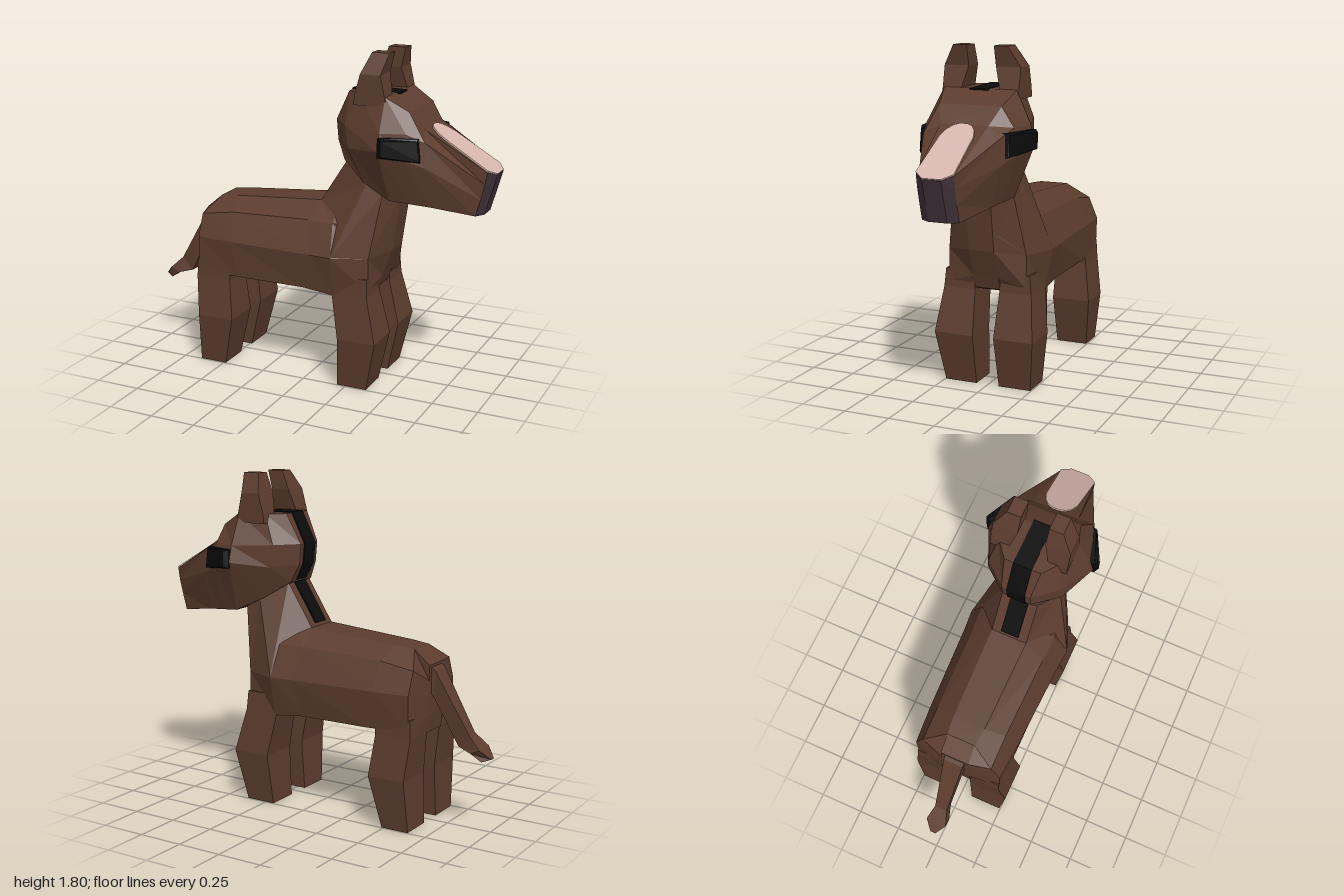
import * as THREE from 'three';

const paint = (name, color) => {
  const m = new THREE.MeshStandardMaterial({ color, flatShading: true });
  m.name = name;
  return m;
};

// Closed faceted solid through rings with an equal, even number of points
function loft(name, rings, material) {
  const pos = [];
  const tri = (a, b, c) => pos.push(...a, ...b, ...c);
  const quad = (a, b, c, d) => { tri(a, b, c); tri(a, c, d); };
  const n = rings[0].length;
  for (let r = 0; r < rings.length - 1; r++) {
    const p = rings[r], q = rings[r + 1];
    for (let i = 0; i < n; i++) {
      const j = (i + 1) % n;
      quad(p[i], p[j], q[j], q[i]);
    }
  }
  const cap = (p, flip) => {
    for (let i = 0; i < n / 2 - 1; i++) {
      const f = [p[i], p[i + 1], p[n - 2 - i], p[n - 1 - i]];
      quad(...(flip ? f.reverse() : f));
    }
  };
  cap(rings[0], true);
  cap(rings[rings.length - 1], false);

  // Turn the faces outward if the signed volume is negative
  const v = i => new THREE.Vector3(pos[i], pos[i + 1], pos[i + 2]);
  let volume = 0;
  for (let i = 0; i < pos.length; i += 9) volume += v(i).dot(v(i + 3).cross(v(i + 6)));
  if (volume < 0) {
    for (let i = 0; i < pos.length; i += 9) {
      for (let k = 3; k < 6; k++) [pos[i + k], pos[i + k + 3]] = [pos[i + k + 3], pos[i + k]];
    }
  }
  const g = new THREE.BufferGeometry();
  g.setAttribute('position', new THREE.Float32BufferAttribute(pos, 3));
  g.computeVertexNormals();
  const mesh = new THREE.Mesh(g, material);
  mesh.name = name;
  return mesh;
}

// Complete half a ring by mirroring it in z
const whole = half => [...half, ...half.slice().reverse().map(([x, y, z]) => [x, y, -z])];

// Four-cornered ring at height y
const box = (y, x0, x1, z0, z1) => [[x0, y, z0], [x1, y, z0], [x1, y, z1], [x0, y, z1]];

export function createModel() {
  const group = new THREE.Group();
  const coat = paint('brown coat', 0x5c3c2e);
  const black = paint('black', 0x0b0b0b);
  const pink = paint('pale pink', 0xd6b6ae);
  const dark = paint('dark muzzle', 0x40323a);
  const add = (...args) => group.add(loft(...args));

  // Trunk, from rump to chest
  add('body', [
    [[-.67, .86, .08], [-.67, .78, .08], [-.67, .7, .08], [-.67, .6, .08], [-.66, .5, .08]],
    [[-.58, .935, .08], [-.64, .85, .2], [-.64, .73, .25], [-.64, .54, .245], [-.62, .5, .1]],
    [[-.48, .945, .09], [-.45, .88, .2], [-.43, .73, .265], [-.4, .53, .25], [-.4, .53, .1]],
    [[.04, .985, .1], [.02, .9, .21], [.05, .73, .285], [0, .53, .25], [0, .53, .1]],
    [[.15, 1, .1], [.16, .9, .22], [.18, .73, .295], [.18, .51, .25], [.18, .5, .1]],
    [[.38, .95, .1], [.37, .88, .19], [.365, .73, .22], [.365, .55, .22], [.34, .52, .08]],
    [[.46, .95, .07], [.45, .85, .07], [.44, .75, .07], [.385, .6, .07], [.36, .53, .07]],
  ].map(whole), coat);

  // Neck
  add('neck', [
    [[.04, .985, .1], [.18, .735, .294], [.365, .73, .22], [.44, .75, .07]],
    [[.19, 1.22, .1], [.33, 1.12, .17], [.42, 1.08, .165], [.485, 1.06, .07]],
    [[.25, 1.3, .1], [.37, 1.22, .14], [.43, 1.2, .14], [.48, 1.18, .07]],
  ].map(whole), coat);

  // Head, from nape to muzzle
  const muzzle = [[.955, 1.235, .1], [.945, 1.17, .1], [.925, 1.09, .1], [.9, 1, .1]];
  add('head', [
    [[.2, 1.59, .1], [.12, 1.43, .08], [.13, 1.32, .08], [.175, 1.22, .1]],
    [[.29, 1.59, .17], [.22, 1.43, .2], [.24, 1.31, .21], [.31, 1.13, .17]],
    [[.44, 1.59, .2], [.44, 1.42, .275], [.44, 1.33, .3], [.47, 1.055, .2]],
    [[.56, 1.52, .17], [.57, 1.42, .24], [.57, 1.29, .26], [.58, 1.045, .18]],
    [[.63, 1.43, .13], [.66, 1.38, .21], [.67, 1.25, .22], [.68, 1.035, .16]],
    muzzle,
  ].map(whole), coat);
  add('muzzle', [
    muzzle,
    [[.993, 1.215, .05], [.975, 1.15, .05], [.955, 1.08, .05], [.932, 1, .05]],
  ].map(whole), dark);

  // Pale stripe with a rounded upper end along the bridge of the nose
  const stripe = [[0, .02], [.015, .05], [.05, .075], [.1, .09], [.377, .1], [.42, .05]];
  const shape = new THREE.Shape(
    [...stripe, ...stripe.slice().reverse().map(([u, w]) => [u, -w])].map(p => new THREE.Vector2(...p)));
  const plate = new THREE.ExtrudeGeometry(shape, { depth: .008, bevelEnabled: false });
  const blaze = new THREE.Mesh(plate.rotateX(-Math.PI / 2), pink);
  blaze.name = 'noseStripe';
  blaze.position.set(.63, 1.431, 0);
  blaze.rotation.z = -Math.atan2(.195, .325);
  group.add(blaze);

  // Mane: thin strip up the neck and over the head; each point has its outward direction
  const mane = [
    [.05, 1, -.84, .54], [.185, 1.213, -.88, .3], [.13, 1.32, -1, 0],
    [.12, 1.43, -1, .1], [.2, 1.59, -.5, .87], [.46, 1.583, .1, 1],
  ];
  add('mane', mane.map(([x, y, nx, ny]) => [
    [x, y, -.05], [x, y, .05],
    [x + nx * .008, y + ny * .008, .05], [x + nx * .008, y + ny * .008, -.05],
  ]), black);

  // Tail
  add('tail', [
    [[-.63, .88, .06], [-.66, .72, .06]],
    [[-.69, .83, .055], [-.68, .69, .05]],
    [[-.88, .51, .035], [-.82, .44, .03]],
    [[-.95, .445, .058], [-.9, .42, .055]],
    [[-1, .395, .015], [-.955, .38, .04]],
  ].map(whole), coat);

  // Paired parts
  for (const [side, s] of [['left', -1], ['right', 1]]) {
    add(side + 'FrontLeg', [
      box(0, .2, .37, s * .065, s * .245), box(.28, .215, .43, s * .06, s * .28),
      box(.52, .17, .37, s * .07, s * .25), box(.62, .18, .365, s * .08, s * .24),
    ], coat);
    add(side + 'HindLeg', [
      box(0, -.645, -.49, s * .065, s * .245), box(.28, -.635, -.425, s * .06, s * .28),
      box(.5, -.655, -.45, s * .07, s * .25), box(.6, -.65, -.44, s * .08, s * .245),
    ], coat);
    add(side + 'Ear', [
      box(1.54, .27, .45, s * .11, s * .21), box(1.59, .275, .44, s * .105, s * .21),
      box(1.7, .305, .415, s * .075, s * .21), box(1.805, .345, .44, s * .075, s * .15),
    ], coat);
    add(side + 'Eye', [
      [[.44, 1.4, s * .265], [.63, 1.4, s * .2], [.645, 1.28, s * .2], [.44, 1.3, s * .27]],
      [[.44, 1.4, s * .302], [.63, 1.4, s * .232], [.645, 1.28, s * .238], [.44, 1.3, s * .305]],
      [[.465, 1.39, s * .322], [.63, 1.39, s * .24], [.64, 1.29, s * .243], [.465, 1.31, s * .322]],
    ], black);
  }
  return group;
}
